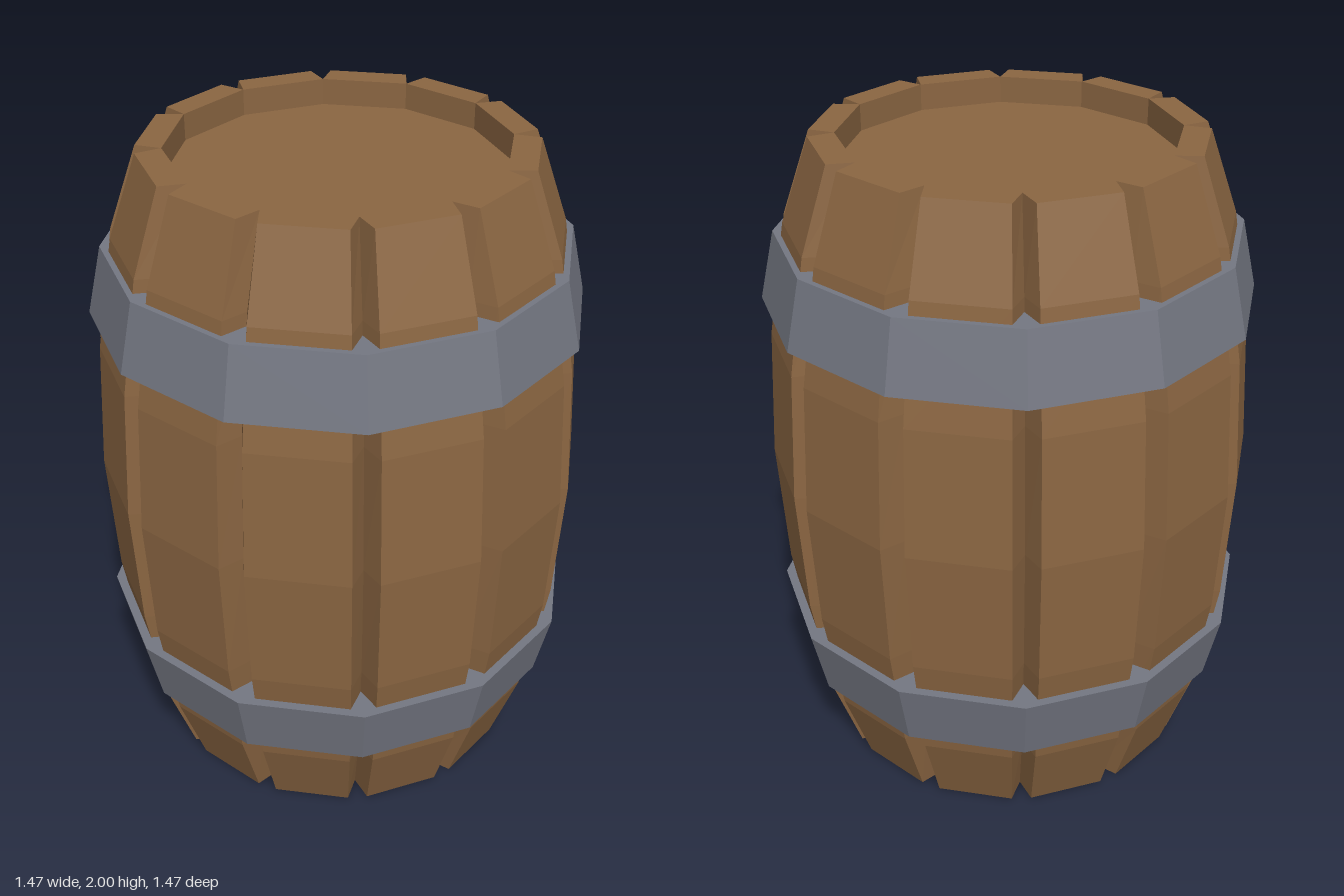
import * as THREE from 'three';

const STAVES = 12, STEP = Math.PI * 2 / STAVES;
const GAP = 0.054;      // half angle of the groove between staves
const DEPTH = 0.075;    // groove depth
const RIM = 0.57 - DEPTH;

const wood = new THREE.MeshStandardMaterial({ color: 0x8b6642, flatShading: true });
const iron = new THREE.MeshStandardMaterial({ color: 0x747782, flatShading: true });

const polar = (r, a, y) => new THREE.Vector3(r * Math.sin(a), y, r * Math.cos(a));

// Cross-section of the barrel: V groove, then the two corners of a stave
function staveRing(r, y) {
  const ring = [];
  for (let i = 0; i < STAVES; i++) {
    const a = i * STEP;
    ring.push(polar(r - DEPTH, a, y), polar(r, a + GAP, y), polar(r, a + STEP - GAP, y));
  }
  return ring;
}

// Plain twelve-sided ring whose points pair up with those of a stave ring
function plainRing(r, y) {
  const ring = [];
  for (let i = 0; i < STAVES; i++) {
    const a = i * STEP;
    ring.push(polar(r, a, y), polar(r, a, y), polar(r, a + STEP, y));
  }
  return ring;
}

const centre = (y) => Array.from({ length: STAVES * 3 }, () => new THREE.Vector3(0, y, 0));

// Skin a series of rings with flat faces, skipping collapsed triangles
function loft(rings) {
  const pos = [];
  const tri = (a, b, c) => {
    if (new THREE.Triangle(a, b, c).getArea() > 1e-7) {
      for (const p of [a, b, c]) pos.push(p.x, p.y, p.z);
    }
  };
  for (let j = 0; j < rings.length - 1; j++) {
    const lo = rings[j], hi = rings[j + 1], n = lo.length;
    for (let i = 0; i < n; i++) {
      const k = (i + 1) % n;
      tri(lo[i], lo[k], hi[k]);
      tri(lo[i], hi[k], hi[i]);
    }
  }
  const g = new THREE.BufferGeometry();
  g.setAttribute('position', new THREE.Float32BufferAttribute(pos, 3));
  g.computeVertexNormals();
  return g;
}

export function createModel() {
  const barrel = new THREE.Group();
  barrel.name = 'barrel';
  const add = (name, geometry, material) => {
    const mesh = new THREE.Mesh(geometry, material);
    mesh.name = name;
    barrel.add(mesh);
    return mesh;
  };

  // Bulging staves, flat rim and the inside of the rim
  const profile = [[0.57, 0], [0.657, 0.25], [0.715, 0.6], [0.737, 1],
    [0.715, 1.4], [0.657, 1.75], [0.57, 2]];
  const rings = profile.map(([r, y]) => staveRing(r, y));
  add('staves', loft([...rings, plainRing(RIM, 2), plainRing(RIM, 1.92)]), wood);

  // Sunken lid and flat base
  add('lid', loft([plainRing(RIM, 1.92), centre(1.92)]), wood);
  add('base', loft([centre(0), rings[0]]), wood);

  // Iron hoops, wider towards the middle of the barrel
  const hoop = (yWide, yNarrow) => {
    const pts = [[0.57, yWide], [0.737, yWide], [0.69, yNarrow], [0.57, yNarrow]]
      .map(([r, y]) => new THREE.Vector2(r, y));
    if (yWide > yNarrow) pts.reverse();
    return new THREE.LatheGeometry(pts, STAVES);
  };
  add('upperHoop', hoop(1.5, 1.71), iron);
  add('lowerHoop', hoop(0.51, 0.3), iron);

  return barrel;
}
